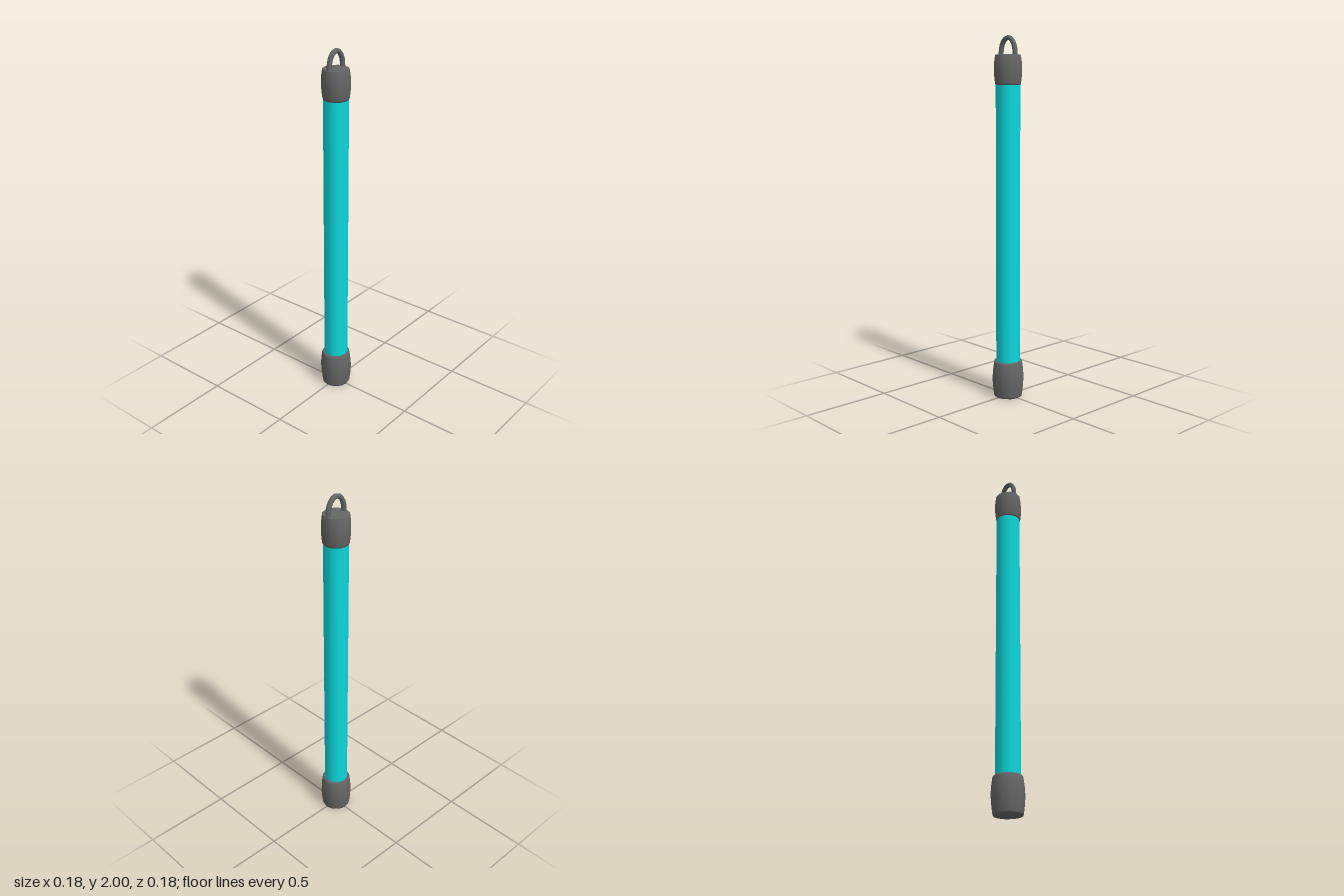
import * as THREE from 'three';

const SIDES = 12;
const grey = new THREE.MeshStandardMaterial({ color: 0x666666 });
const cyan = new THREE.MeshStandardMaterial({ color: 0x0cd8dc });

// Turned part from [radius, height] pairs, listed bottom to top
function turned(name, profile, material) {
  const points = profile.map(([r, y]) => new THREE.Vector2(r, y));
  const mesh = new THREE.Mesh(new THREE.LatheGeometry(points, SIDES), material);
  mesh.name = name;
  return mesh;
}

export function createModel() {
  const model = new THREE.Group();
  model.name = 'lightStick';

  // Long glowing tube, ends hidden inside the caps
  model.add(turned('tube', [[0.068, 0.15], [0.068, 1.8]], cyan));

  // Bulging base cap
  model.add(turned('baseCap', [
    [0, 0], [0.078, 0], [0.081, 0.01], [0.087, 0.06], [0.09, 0.105],
    [0.087, 0.15], [0.081, 0.195], [0.075, 0.205], [0, 0.205],
  ], grey));

  // Smaller top cap
  model.add(turned('topCap', [
    [0, 1.735], [0.068, 1.735], [0.072, 1.745], [0.077, 1.79], [0.078, 1.825],
    [0.076, 1.86], [0.071, 1.893], [0.068, 1.896], [0, 1.896],
  ], grey));

  // Hanging loop: a faceted arch rising from the top cap
  const arch = new THREE.CurvePath();
  const points = [new THREE.Vector3(0.054, 1.87, 0)];
  const steps = 8;
  for (let i = 0; i <= steps; i++) {
    const a = (i / steps) * Math.PI;
    points.push(new THREE.Vector3(0.054 * Math.cos(a), 1.905 + 0.081 * Math.sin(a), 0));
  }
  points.push(new THREE.Vector3(-0.054, 1.87, 0));
  const curve = new THREE.CatmullRomCurve3(points);
  const loop = new THREE.Mesh(new THREE.TubeGeometry(curve, 14, 0.0135, 8), grey);
  loop.name = 'hangingLoop';
  model.add(loop);

  return model;
}
